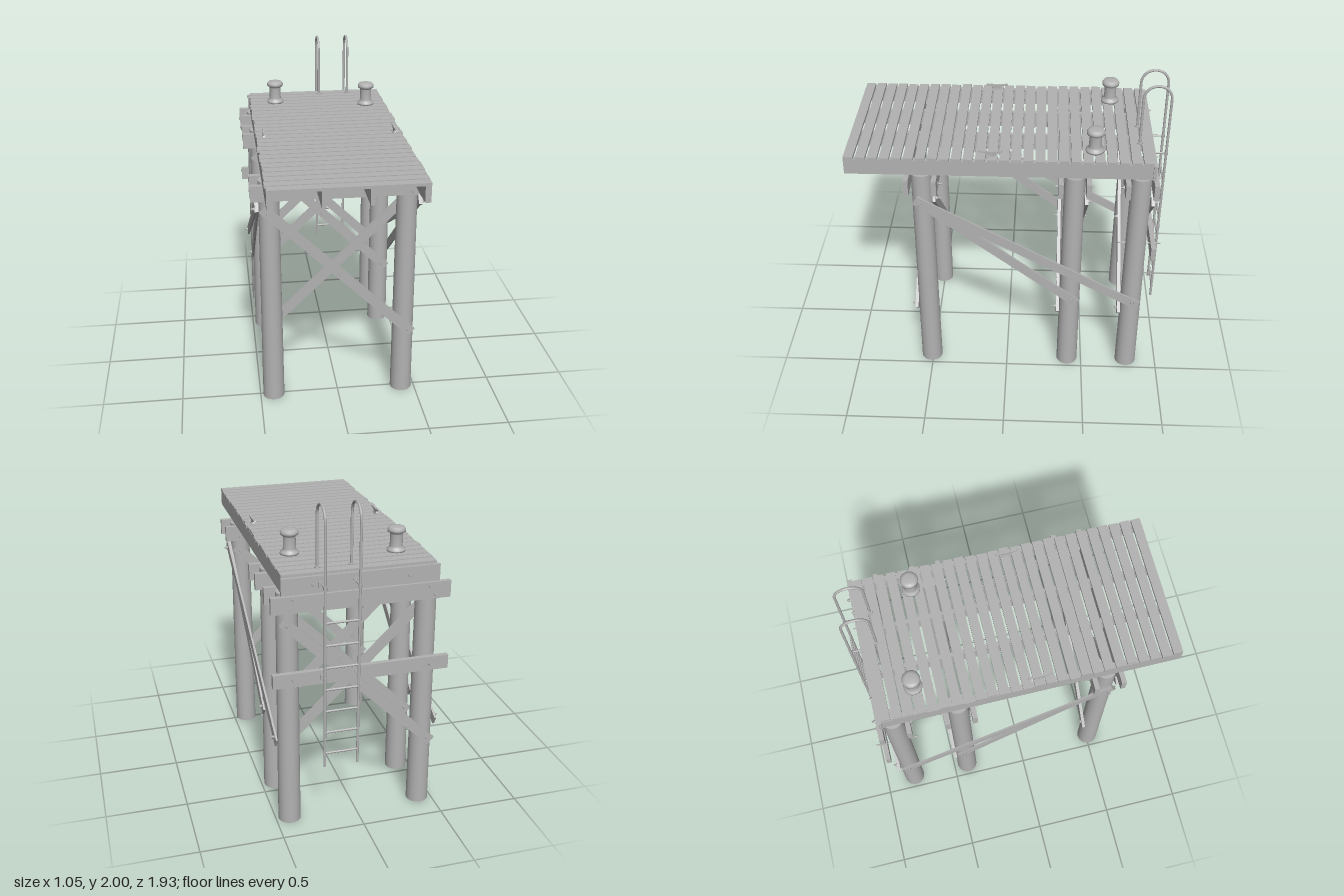
import * as THREE from 'three';

export function createModel() {
  const root = new THREE.Group();
  root.name = 'jetty';
  const grey = new THREE.MeshStandardMaterial({ color: 0xb2b2b2 });
  grey.name = 'plain grey';

  let seed = 7;
  const rand = () => ((seed = (seed * 16807) % 2147483647) / 2147483647) - 0.5;

  function add(name, geometry, x = 0, y = 0, z = 0, parent = root) {
    const mesh = new THREE.Mesh(geometry, grey);
    mesh.name = name;
    mesh.position.set(x, y, z);
    parent.add(mesh);
    return mesh;
  }
  const box = (name, w, h, d, x, y, z) => add(name, new THREE.BoxGeometry(w, h, d), x, y, z);
  // Round bar between two points
  function rod(name, a, b, r, sides = 8) {
    const p = new THREE.Vector3(...a), q = new THREE.Vector3(...b);
    const mesh = add(name, new THREE.CylinderGeometry(r, r, p.distanceTo(q), sides));
    mesh.position.copy(p).add(q).multiplyScalar(0.5);
    mesh.quaternion.setFromUnitVectors(new THREE.Vector3(0, 1, 0), q.sub(p).normalize());
    return mesh;
  }
  // Washer, nut and bolt end standing out along one axis
  function bolt(x, y, z, axis, dir) {
    const at = t => (axis === 'x' ? [x + t * dir, y, z] : [x, y, z + t * dir]);
    rod('washer', at(-0.004), at(0.004), 0.012, 10);
    rod('nut', at(0.004), at(0.012), 0.009, 6);
    rod('boltEnd', at(0.01), at(0.022), 0.005, 6);
  }

  const PILE_X = 0.415, rows = [0.51, -0.405, -0.8];

  for (const z of rows) {
    for (const s of [-1, 1]) {
      add('pile', new THREE.CylinderGeometry(0.062, 0.068, 1.49, 24), s * PILE_X, 0.745, z);
      // Paired cross caps and diagonal braces clamp both faces of the row
      box('crossCap', 1.055, 0.1, 0.03, 0, 1.44, z + s * 0.083);
      for (const e of [-1, 1]) {
        bolt(e * 0.4, 1.47, z + s * 0.098, 'z', s);
        bolt(e * 0.43, 1.415, z + s * 0.098, 'z', s);
      }
      const brace = box('crossBrace', 1.275, 0.06, 0.02, 0, 0.89, z + s * 0.075);
      brace.rotation.z = -s * Math.atan2(0.89, 0.91);
      for (const k of [-0.43, 0, 0.43]) bolt(k, 0.89 - s * k * 0.978, z + s * 0.085, 'z', s);
    }
  }

  // Long raking braces down each side
  for (const s of [-1, 1]) {
    [-0.445, -0.835].forEach((end, i) => {
      const dz = 0.55 - end, dy = 0.785, x = s * (0.484 + i * 0.012);
      const brace = box('sideBrace', 0.012, 0.06, Math.hypot(dz, dy), x, 0.9425, (0.55 + end) / 2);
      brace.rotation.x = -Math.atan2(dy, dz);
      bolt(x + s * 0.006, 0.575, end + 0.033, 'x', s);
    });
    bolt(s * 0.502, 1.31, 0.52, 'x', s);
  }

  // Deck frame
  for (const x of [-0.437, -0.14, 0.13, 0.437])
    box('stringer', Math.abs(x) > 0.3 ? 0.035 : 0.026, 0.1, 1.825, x, 1.54, 0.0505);
  box('backFascia', 0.93, 0.1, 0.02, 0, 1.54, -0.87);
  box('backRail', 1.055, 0.085, 0.03, 0, 0.988, -0.9);
  for (const s of [-1, 1]) {
    bolt(s * 0.41, 0.99, -0.915, 'z', -1);
    rod('railBolt', [s * 0.41, 0.99, -0.69], [s * 0.41, 0.99, -0.955], 0.005);
    bolt(s * 0.28, 1.54, -0.88, 'z', -1);
  }

  // Deck planks with slightly uneven ends
  for (let i = 0; i < 26; i++) {
    const plank = box('deckPlank', 0.915 + rand() * 0.012, 0.018, 0.058,
      rand() * 0.012, 1.597, -0.832 + i * 0.07056);
    plank.rotation.y = rand() * 0.006;
  }

  // Ladder with hooped handrails
  const rails = [0.035, 0.235];
  for (const x of rails) {
    const path = new THREE.CurvePath();
    const V = (y, z) => new THREE.Vector3(x, y, z);
    const arc = [];
    for (let i = 0; i <= 12; i++) {
      const a = Math.PI * i / 12;
      arc.push(V(1.91 + 0.082 * Math.sin(a), -0.872 - 0.082 * Math.cos(a)));
    }
    path.add(new THREE.LineCurve3(V(0.42, -0.954), arc[0]));
    path.add(new THREE.CatmullRomCurve3(arc));
    path.add(new THREE.LineCurve3(arc[12], V(1.6, -0.79)));
    add('ladderRail', new THREE.TubeGeometry(path, 120, 0.008, 10));
    for (const y of [0.42, 1.605]) {
      const foot = y > 1;
      add(foot ? 'railFoot' : 'railEnd',
        new THREE.CylinderGeometry(foot ? 0.018 : 0.008, foot ? 0.018 : 0.008, 0.008, 12),
        x, y + 0.004, foot ? -0.79 : -0.954);
    }
    // Stand-off brackets
    for (const [y, z] of [[1.54, -0.88], [0.99, -0.915]]) {
      box('bracketPlate', 0.035, 0.035, 0.008, x, y, z - 0.004);
      rod('bracketArm', [x, y, z], [x, y, -0.954], 0.006);
      rod('bracketCollar', [x, y - 0.01, -0.954], [x, y + 0.01, -0.954], 0.011, 10);
    }
  }
  for (let i = 0; i < 7; i++)
    rod('ladderRung', [rails[0], 0.51 + i * 0.1375, -0.954], [rails[1], 0.51 + i * 0.1375, -0.954], 0.007);

  // Mooring bollards
  const profile = [[0, 0], [0.056, 0], [0.056, 0.012], [0.044, 0.022], [0.038, 0.035], [0.037, 0.105],
    [0.042, 0.112], [0.053, 0.118], [0.054, 0.132], [0.046, 0.145], [0.03, 0.15], [0, 0.15]]
    .map(p => new THREE.Vector2(...p));
  for (const [x, z] of [[-0.285, -0.635], [0.325, -0.52]])
    add('bollard', new THREE.LatheGeometry(profile, 28), x, 1.605, z);

  // Mooring cleats
  const horn = new THREE.Shape([[-0.03, 0], [0.03, 0], [0.03, 0.006], [0.02, 0.016], [0.035, 0.022],
    [0.07, 0.03], [0.066, 0.037], [0, 0.032], [-0.066, 0.037], [-0.07, 0.03], [-0.035, 0.022],
    [-0.02, 0.016], [-0.03, 0.006]].map(p => new THREE.Vector2(...p)));
  for (const s of [-1, 1]) {
    const cleat = add('cleat', new THREE.ExtrudeGeometry(horn, { depth: 0.012, bevelEnabled: false }),
      s * 0.41 - 0.006, 1.605, 0.095);
    cleat.rotation.y = Math.PI / 2;
    box('cleatBase', 0.025, 0.006, 0.06, s * 0.41, 1.608, 0.095);
  }
  return root;
}
